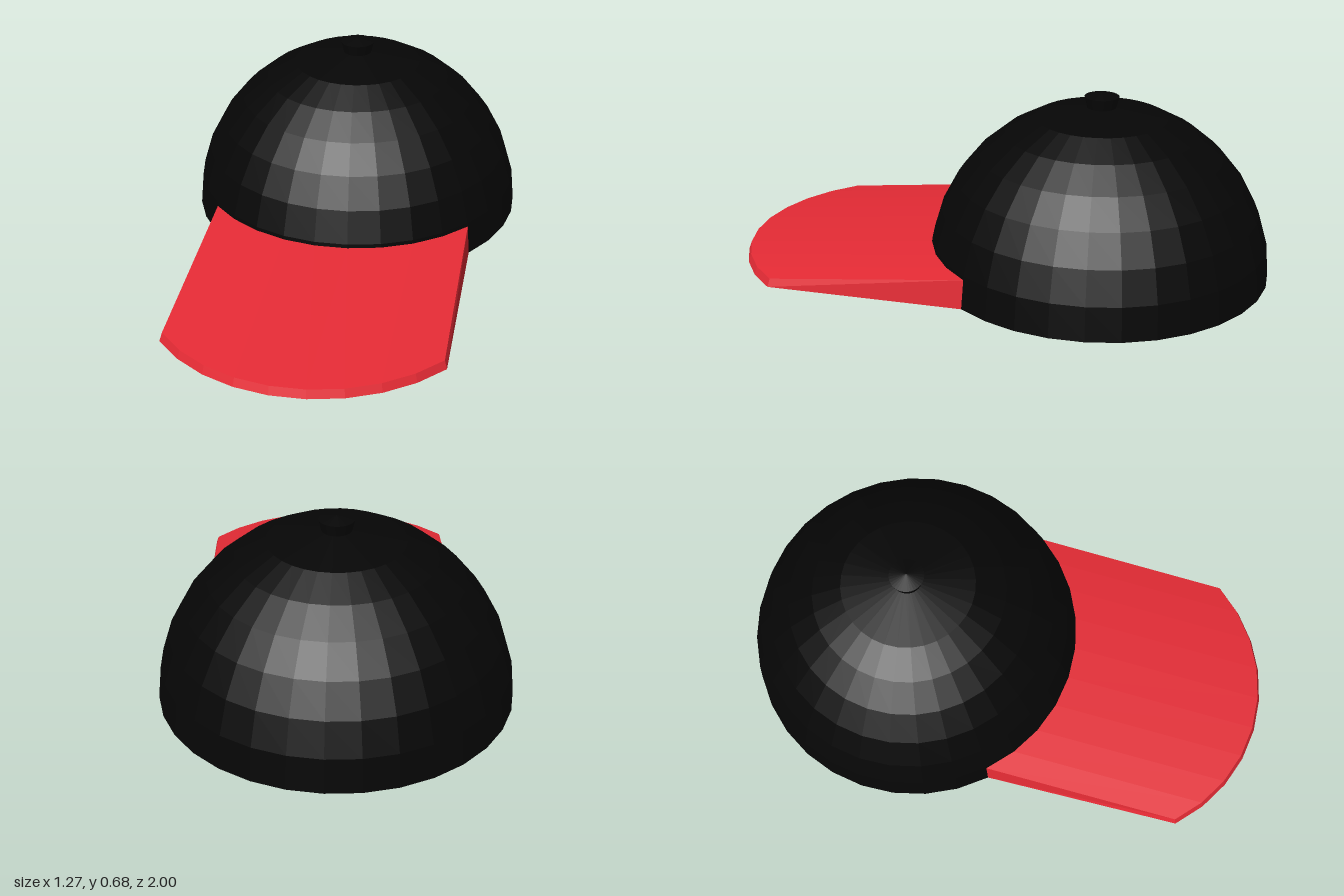
import * as THREE from 'three';

const SIDES = 32, STEP = (Math.PI * 2) / SIDES, R = 0.635, CENTER_Z = -0.366;

// Brim: a strip of the crown's bottom band, pulled forward and slightly sideways
function brimGeometry() {
  const first = -5, last = 4;            // crown columns the brim grows from
  const shift = [-0.083, 0.731];         // x, z pull
  // rim corners: radius, height, amount of pull
  const section = [[0.624, 0.11, 0], [0.624, 0.03, 1], [R, 0, 1], [R, 0, 0]];
  const pos = [], idx = [];
  for (let i = first; i <= last; i++) {
    for (const [r, y, t] of section) {
      pos.push(r * Math.sin(i * STEP) + shift[0] * t, y, CENTER_Z + r * Math.cos(i * STEP) + shift[1] * t);
    }
  }
  const quad = (a, b, c, d) => idx.push(a, b, c, a, c, d);
  const n = last - first;
  for (let i = 0; i < n; i++) {
    for (let k = 0; k < 3; k++) {
      const a = i * 4 + k;
      quad(a, a + 1, a + 5, a + 4);      // top, front edge, underside
    }
  }
  quad(3, 2, 1, 0);                      // side ends
  quad(n * 4, n * 4 + 1, n * 4 + 2, n * 4 + 3);
  const geo = new THREE.BufferGeometry();
  geo.setAttribute('position', new THREE.Float32BufferAttribute(pos, 3));
  geo.setIndex(idx);
  geo.computeVertexNormals();
  return geo;
}

export function createModel() {
  const group = new THREE.Group();
  const black = new THREE.MeshStandardMaterial({ color: 0x060606, flatShading: true, side: THREE.DoubleSide });
  const red = new THREE.MeshStandardMaterial({ color: 0xe62b35, flatShading: true });

  const add = (name, geo, mat, z = 0) => {
    const mesh = new THREE.Mesh(geo, mat);
    mesh.name = name;
    mesh.position.z = z;
    group.add(mesh);
  };
  const lathe = (pts) => new THREE.LatheGeometry(pts.map(([x, y]) => new THREE.Vector2(x, y)), SIDES);

  // Crown: thin faceted half dome, open underneath
  const dome = [];
  for (let i = 0; i < 7; i++) dome.push([R * Math.cos(i * STEP), 0.637 * Math.sin(i * STEP)]);
  dome.push([0.053, 0.625]);

  // Button: flared stub with a shallow pointed top, growing out of the crown
  add('crown', lathe(dome), black, CENTER_Z);
  add('topButton', lathe([[0.053, 0.625], [0.063, 0.666], [0, 0.68]]), black, CENTER_Z);

  add('brim', brimGeometry(), red);
  return group;
}
